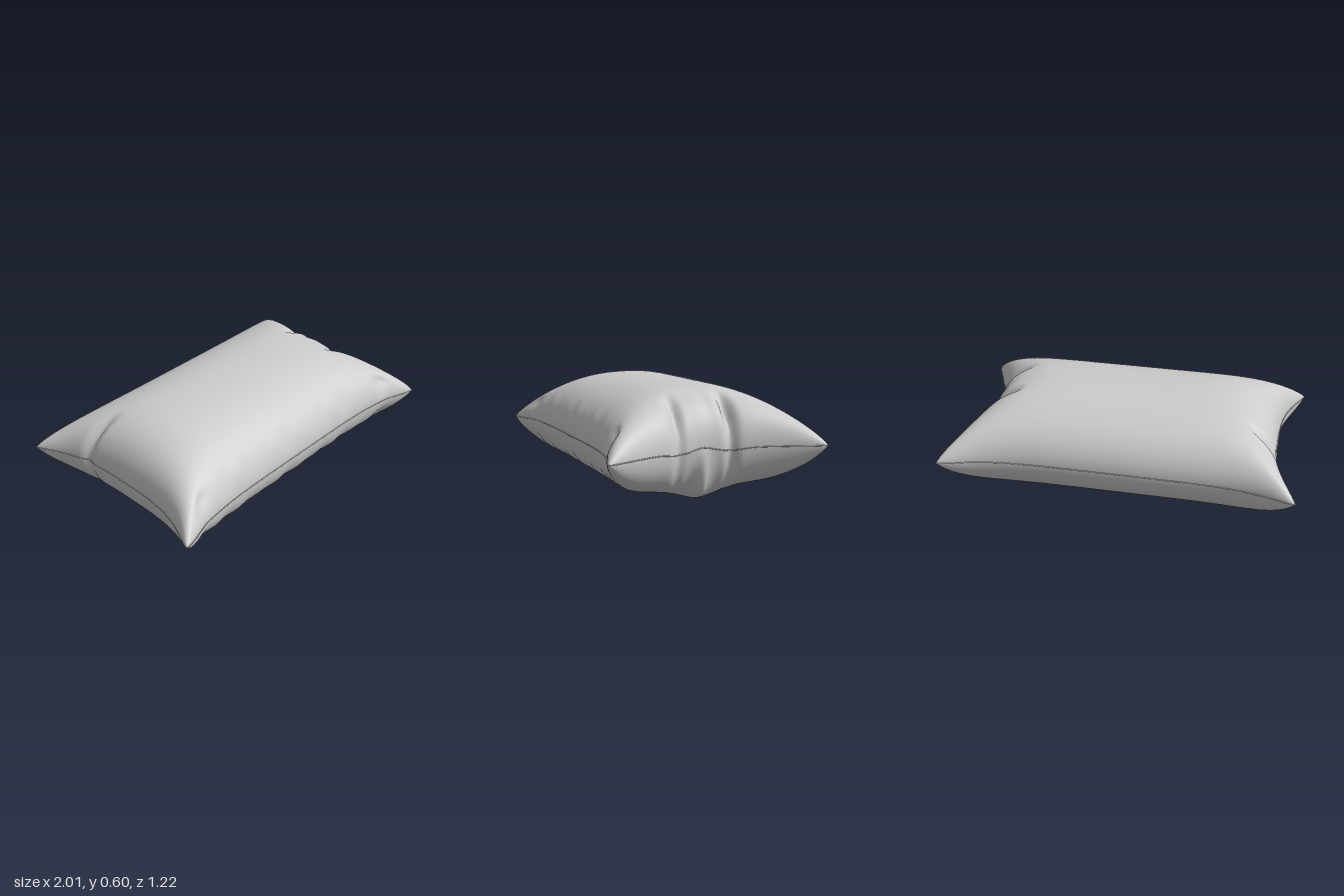
import * as THREE from 'three';

const gauss = (t, width) => Math.exp(-((t / width) ** 2));
const smooth = THREE.MathUtils.smoothstep;

// Point on the pillow: u and v run -1..1 along x and z, side is +1 (top) or -1 (underside)
function pillowPoint(u, v, side) {
  const au = Math.abs(u), av = Math.abs(v);

  // Pinched plan outline with four blunt ears
  const halfX = (u < 0 ? 0.87 + 0.15 * av ** 3 : 0.82 + 0.2 * av ** 1.6) - 0.02 * av ** 20;
  const halfZ = 0.515 + 0.12 * au ** 5 - 0.03 * au ** 20;
  let x = u * halfX;
  let z = v * halfZ;

  // Rounded cushion profile, fuller underneath
  const along = Math.sqrt(Math.max(0, 1 - au ** (side > 0 ? 6 : 8.5)));
  const across = Math.sqrt(Math.max(0, 1 - av ** (side > 0 ? 2.3 : 4)));
  const bulge = along * across;
  let y = 0.285 - 0.025 * z + side * (side > 0 ? 0.315 : 0.245) * bulge;

  // Folds gathered at the two short ends, with the seam sagging into them
  const rightEnd = smooth(u, 0.7, 0.95), leftEnd = smooth(-u, 0.75, 0.97);
  const foldA = gauss(z + 0.13, 0.03), foldB = gauss(z - 0.17, 0.03);
  const foldC = gauss(z + 0.28 - 0.3 * (x + 0.85), 0.03);
  y += rightEnd * (0.012 * gauss(z - 0.03, 0.05) - 0.015 * gauss(z + 0.13, 0.07) - 0.015 * gauss(z - 0.18, 0.07));
  if (side > 0) {
    y -= (0.07 * foldA + 0.05 * foldB) * rightEnd * along + 0.06 * foldC * leftEnd * along;
    y += 0.02 * gauss(z + 0.07, 0.04) * rightEnd * along;
  } else {
    // Keel under the pinched end
    y -= 0.076 * gauss(x - 0.72, 0.18) * gauss(z, 0.13) * bulge;
    x += 0.05 * rightEnd * gauss(z - 0.02, 0.03) * along;
    x -= 0.03 * rightEnd * (gauss(z - 0.1, 0.04) + gauss(z + 0.07, 0.04)) * along;
  }
  x -= (0.03 * foldA + 0.02 * foldB) * rightEnd;
  x += 0.02 * foldC * leftEnd;

  // Soft puckers along the front seam and beside the front ears
  if (v > 0) {
    const nearSeam = smooth(v, 0.8, 0.96) * (1 - v ** 12) * (1 - au ** 4);
    z += nearSeam * 0.005 * (Math.sin(x * 23) + Math.sin(x * 37 + 1));
    z -= 0.02 * gauss(au - 0.8, 0.06) * gauss(v - 0.93, 0.06);
  }
  return new THREE.Vector3(x, y, z);
}

// One fabric panel, with rows packed towards the seam
function panel(side) {
  const geometry = new THREE.PlaneGeometry(2, 2, 160, 160);
  const position = geometry.attributes.position;
  const pack = (t) => Math.sin(t * Math.PI / 2);
  for (let i = 0; i < position.count; i++) {
    const p = pillowPoint(pack(position.getX(i)), pack(-side * position.getY(i)), side);
    position.setXYZ(i, p.x, p.y, p.z);
  }
  geometry.computeVertexNormals();
  return geometry;
}

// Closed seam following the edge of the panels
function seam() {
  const corners = [[-1, -1], [1, -1], [1, 1], [-1, 1]];
  const points = [];
  corners.forEach(([u0, v0], k) => {
    const [u1, v1] = corners[(k + 1) % 4];
    for (let i = 0; i < 60; i++) {
      const t = i / 60;
      points.push(pillowPoint(u0 + (u1 - u0) * t, v0 + (v1 - v0) * t, 1));
    }
  });
  const path = new THREE.CatmullRomCurve3(points, true);
  return new THREE.TubeGeometry(path, 480, 0.003, 8, true);
}

export function createModel() {
  const group = new THREE.Group();
  group.name = 'pillow';
  const fabric = new THREE.MeshStandardMaterial({ color: 0xcccccc, side: THREE.DoubleSide });
  const parts = { topPanel: panel(1), bottomPanel: panel(-1), seam: seam() };
  for (const [name, geometry] of Object.entries(parts)) {
    const mesh = new THREE.Mesh(geometry, fabric);
    mesh.name = name;
    group.add(mesh);
  }
  return group;
}
